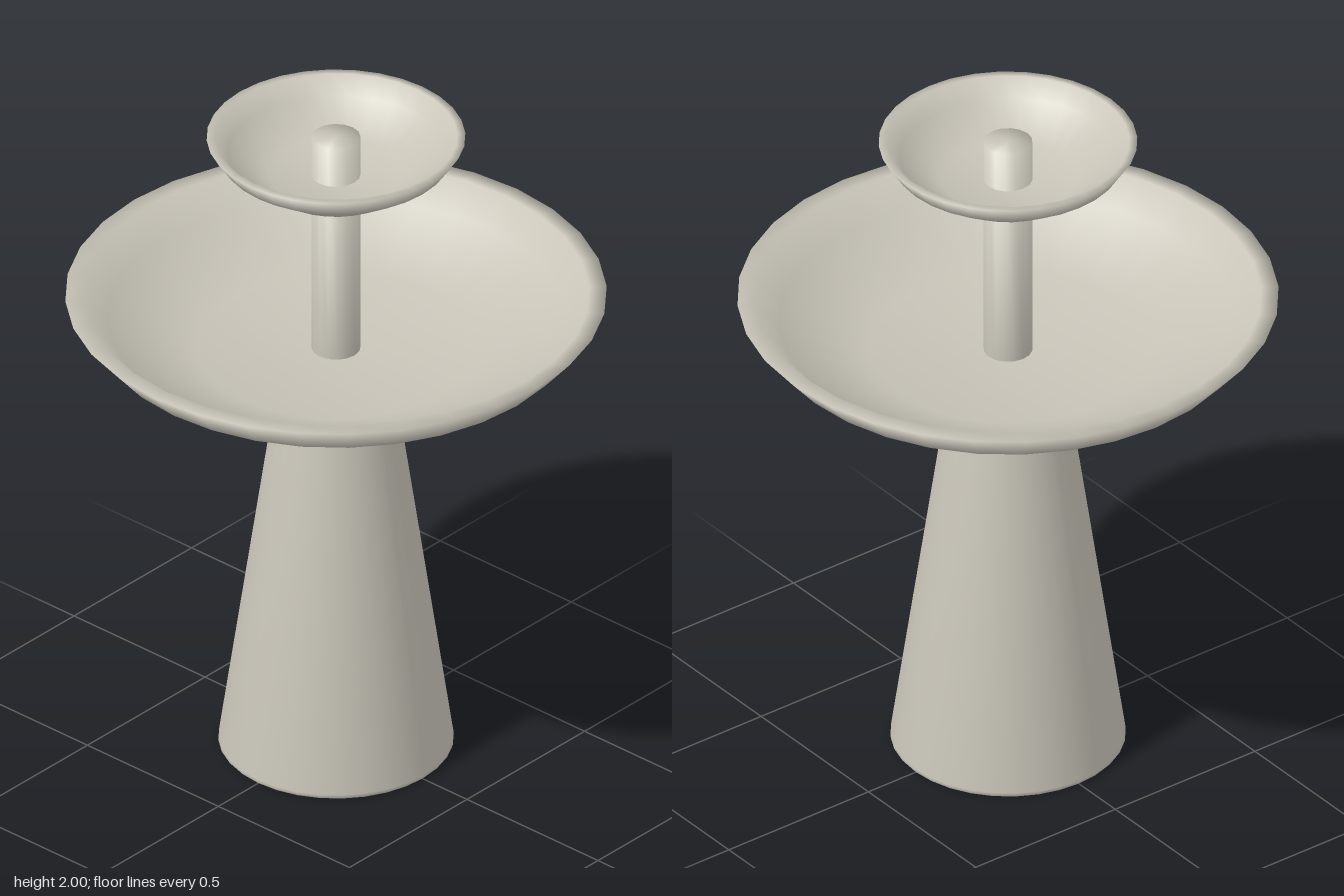
import * as THREE from 'three';

const stone = new THREE.MeshStandardMaterial({ color: 0xc8c4b8 });
stone.name = 'paleStone';

// Unit outward normal of the profile segment starting at point j (zero past either end)
function segmentNormal(points, j) {
  if (j < 0 || j >= points.length - 1) return new THREE.Vector2();
  const d = points[j + 1].clone().sub(points[j]).normalize();
  return new THREE.Vector2(d.y, -d.x);
}

// Turned part: profile runs from the axis underneath, up the outside, back to the axis
function turned(name, profile, sides) {
  const points = profile.map(([r, y]) => new THREE.Vector2(r, y));
  const geometry = new THREE.LatheGeometry(points, sides);

  // Soft edges: both neighbouring faces count equally, so rims look rounded
  const soft = points.map((p, j) =>
    segmentNormal(points, j - 1).add(segmentNormal(points, j)).normalize());
  for (let i = 0; i <= sides; i++) {
    const angle = (i / sides) * Math.PI * 2;
    soft.forEach((n, j) => geometry.attributes.normal.setXYZ(
      i * points.length + j, n.x * Math.sin(angle), n.y, n.x * Math.cos(angle)));
  }

  const mesh = new THREE.Mesh(geometry, stone);
  mesh.name = name;
  return mesh;
}

export function createModel() {
  const fountain = new THREE.Group();
  fountain.name = 'tieredFountain';

  // Tapered pedestal with tiny bevels at both ends
  fountain.add(turned('pedestal', [
    [0, 0], [0.322, 0], [0.33, 0], [0.335, 0.006], [0.334, 0.014],
    [0.161, 1.215], [0.159, 1.224], [0.15, 1.232], [0, 1.236],
  ], 32));

  // Wide lower basin, hollow, with a flat lip and a steep inner wall
  fountain.add(turned('lowerBasin', [
    [0, 1.233], [0.42, 1.238], [0.69, 1.385], [0.77, 1.478],
    [0.72, 1.478], [0.65, 1.4], [0.4, 1.305], [0, 1.3],
  ], 32));

  // Slim post rising through the upper basin
  fountain.add(turned('centrePost', [
    [0, 1.26], [0.07, 1.26], [0.07, 1.3], [0.07, 2], [0, 2],
  ], 16));

  // Small upper basin
  fountain.add(turned('upperBasin', [
    [0, 1.851], [0.2, 1.855], [0.33, 1.942], [0.368, 2],
    [0.345, 2], [0.308, 1.948], [0.19, 1.878], [0, 1.874],
  ], 32));

  return fountain;
}
